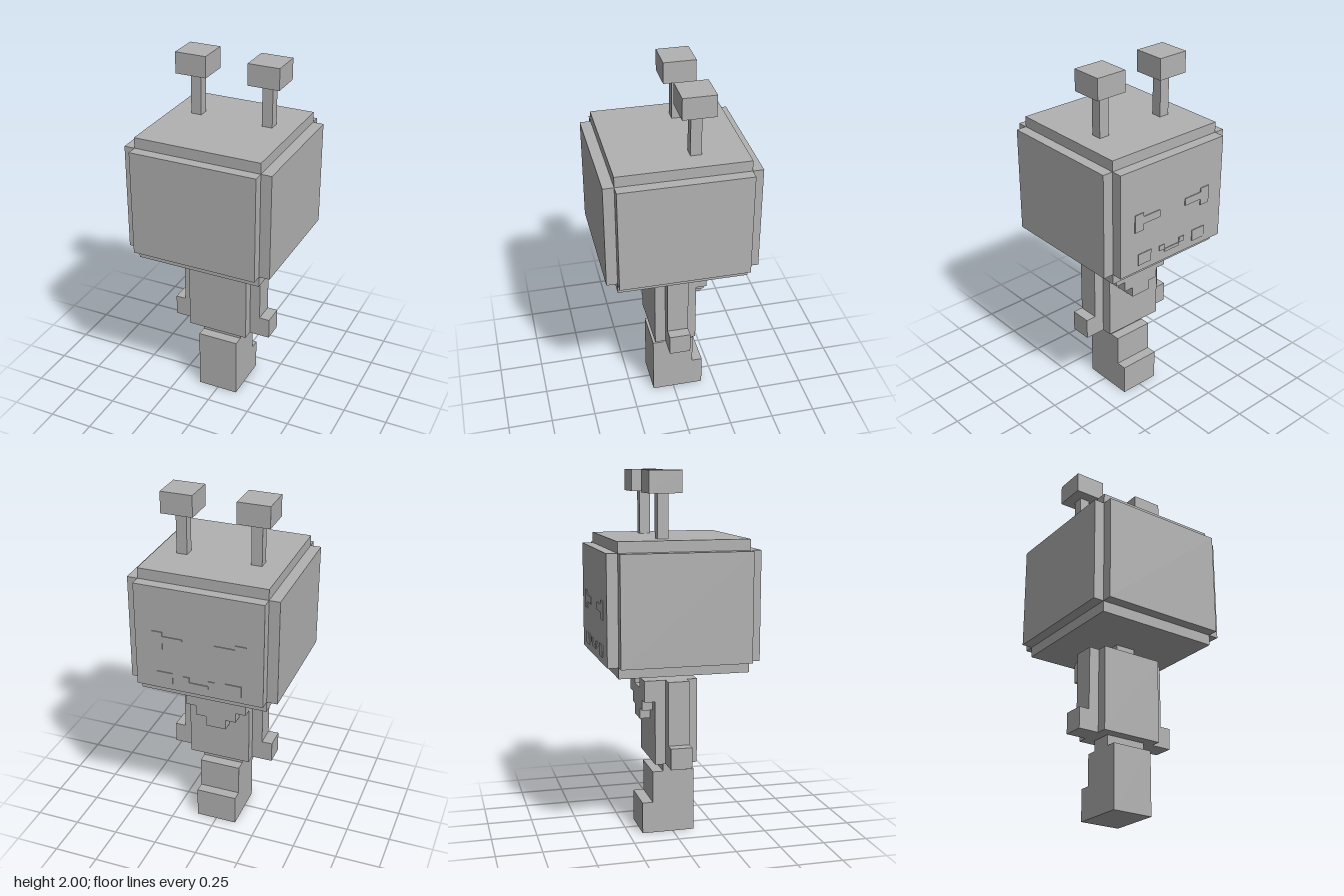
import * as THREE from 'three';

const U = 2 / 34; // one block unit
const Z_SHIFT = 0.003;

export function createModel() {
  const group = new THREE.Group();
  const grey = new THREE.MeshStandardMaterial({ color: 0xb2b2b2 });
  grey.name = 'plain grey';

  // Box given by its limits in block units
  const box = (name, x0, x1, y0, y1, z0, z1) => {
    const mesh = new THREE.Mesh(new THREE.BoxGeometry((x1 - x0) * U, (y1 - y0) * U, (z1 - z0) * U), grey);
    mesh.position.set((x0 + x1) / 2 * U, (y0 + y1) / 2 * U, (z0 + z1) / 2 * U + Z_SHIFT);
    mesh.name = name;
    group.add(mesh);
  };
  // Same box on both sides of the body
  const pair = (name, x0, x1, ...rest) => {
    box(name + 'Left', x0, x1, ...rest);
    box(name + 'Right', -x1, -x0, ...rest);
  };
  // Prism from an outline in x and y, between two depths
  const prism = (name, points, z0, z1) => {
    const shape = new THREE.Shape(points.map(([x, y]) => new THREE.Vector2(x * U, y * U)));
    const mesh = new THREE.Mesh(new THREE.ExtrudeGeometry(shape, { depth: (z1 - z0) * U, bevelEnabled: false }), grey);
    mesh.position.z = z0 * U + Z_SHIFT;
    mesh.name = name;
    group.add(mesh);
  };

  // Legs with feet pointing to -z, drawn as one side profile
  box('legs', -2, 2, 0, 6, -2, 2);
  box('feet', -2, 2, 0, 3, -3, -2);
  box('waist', -2, 2, 6, 7, -1, 1);

  // Body, arms and hands
  box('torso', -3, 3, 7, 15, -2, 2);
  pair('arm', 3, 4, 7, 15, -1, 1);
  pair('hand', 4, 5, 7, 9, -1, 1);
  box('neck', -1, 1, 15, 16, -1, 1);

  // Stepped heart on the chest
  prism('chestHeart', [
    [-1, 11], [1, 11], [1, 12], [2, 12], [2, 13], [3, 13], [3, 15], [1, 15],
    [1, 14], [-1, 14], [-1, 15], [-3, 15], [-3, 13], [-2, 13], [-2, 12], [-1, 12],
  ], -3, -2);

  // Head: three crossing blocks leave stepped edges
  box('headCore', -6, 6, 16, 28, -6, 6);
  box('headSides', -7, 7, 17, 27, -6, 6);
  box('headFaces', -6, 6, 17, 27, -7, 7);

  // Antennae
  pair('antennaStalk', 3, 4, 28, 32, -2, -1);
  pair('antennaTip', 2, 5, 32, 34, -3, 0);

  // Thin face details
  const back = -7, face = -7.08;
  pair('eyeOuter', 3.4, 4.4, 21, 22.7, face, back);
  pair('eyeInner', 1.5, 3.4, 21.6, 22.3, face, back);
  pair('cheek', 2.5, 4, 17.6, 18.7, face, back);
  pair('mouthCorner', 0.9, 1.5, 18.1, 18.6, face, back);
  box('mouth', -0.9, 0.9, 17.8, 18.1, face, back);

  return group;
}
